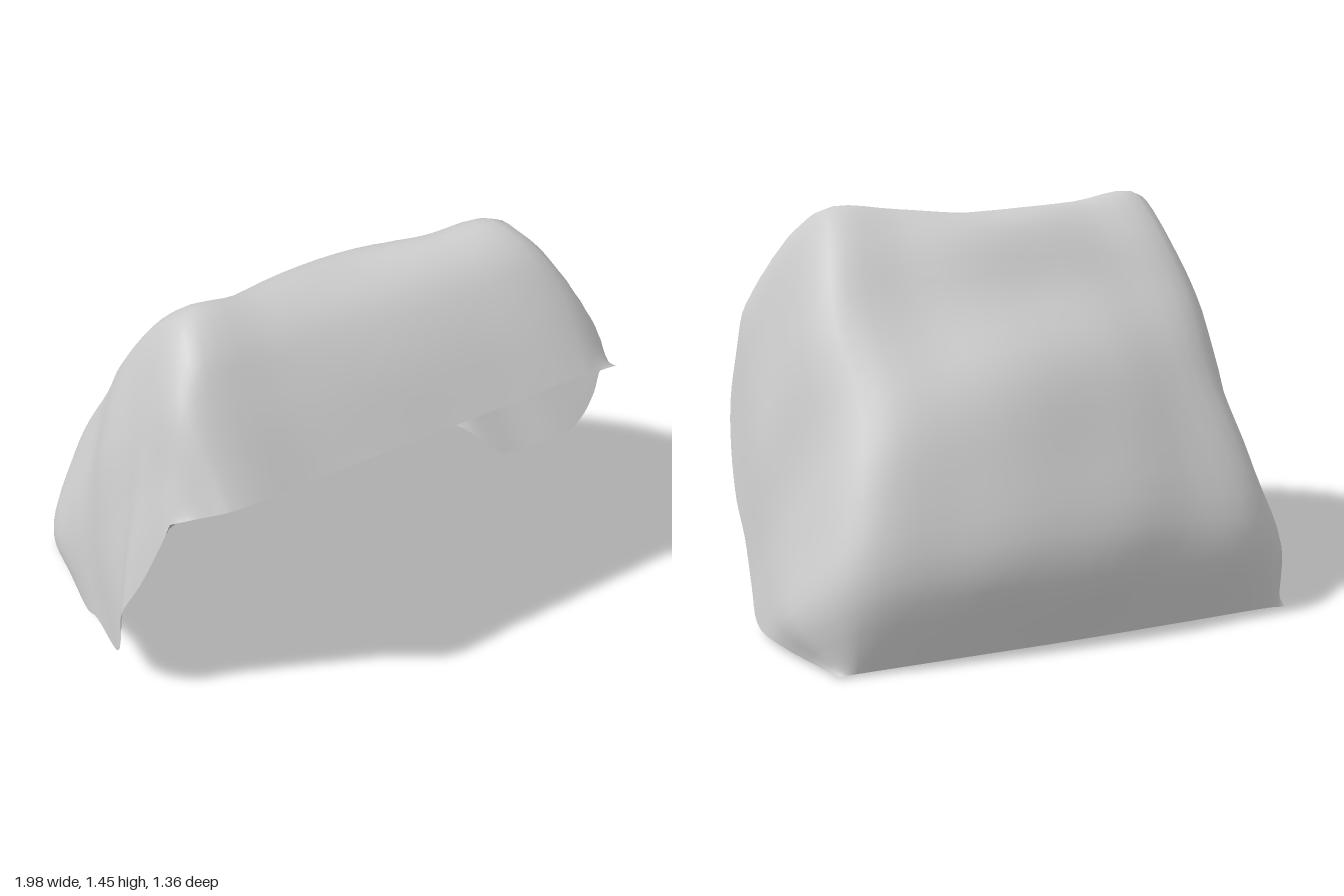
import * as THREE from 'three';

const V = (x, y, z) => new THREE.Vector3(x, y, z);

// Stations from the front lip, over the crown, down to the back foot:
// [ridge y, z], [shoulder half-width, y, z], [left rim x, y, z], [right rim x, y, z]
const STATIONS = [
  [[1.01, 0.67], [0.70, 1.01, 0.67], [0.86, 0.99, 0.66], [-0.86, 0.94, 0.55]],
  [[1.25, 0.50], [0.70, 1.25, 0.49], [0.91, 0.88, 0.53], [-0.88, 0.83, 0.51]],
  [[1.38, 0.35], [0.67, 1.39, 0.36], [0.95, 0.72, 0.47], [-0.93, 0.62, 0.43]],
  [[1.41, 0.18], [0.64, 1.44, 0.23], [0.97, 0.55, 0.40], [-0.98, 0.47, 0.37]],
  [[1.37, 0.03], [0.66, 1.32, 0.06], [0.98, 0.38, 0.29], [-0.98, 0.33, 0.34]],
  [[1.17, -0.16], [0.69, 1.10, -0.11], [0.98, 0.27, 0.16], [-0.96, 0.17, 0.23]],
  [[0.95, -0.42], [0.67, 0.85, -0.32], [0.99, 0.13, 0.02], [-0.94, 0.14, 0.02]],
  [[0.68, -0.57], [0.71, 0.58, -0.49], [1.00, 0.04, -0.10], [-0.93, 0.08, -0.10]],
  [[0.35, -0.68], [0.76, 0.30, -0.61], [0.97, 0.04, -0.32], [-0.90, 0.05, -0.30]],
  [[0.02, -0.61], [0.78, 0.02, -0.60], [0.84, 0.02, -0.60], [-0.85, 0.01, -0.59]],
];

// One arch running from the left rim over the roof to the right rim
function arch([ridge, sh, rimL, rimR], i) {
  const centre = V(0, ...ridge);
  const inner = i > 0 && i < STATIONS.length - 1;
  const half = (side, rim) => {
    const shoulder = V(side * sh[0], sh[1], sh[2]);
    const edge = V(...rim);
    const flank = shoulder.clone().lerp(edge, 0.5);
    // the flanks bow outwards, the left one more than the right
    if (inner) flank.x += side * (i > 4 ? 0.07 : side > 0 ? 0.06 : 0.03);
    const quarter = shoulder.clone().lerp(centre, 0.45);
    // the back swells between its shoulders
    if (i > 4 && inner) quarter.lerp(V(quarter.x, ...ridge), 0.5);
    return [edge, flank, shoulder, quarter];
  };
  return [...half(1, rimL), centre, ...half(-1, rimR).reverse()];
}

// Gentle worn unevenness, fading out at the open edges
function dent(p, u, v) {
  const fade = Math.min(1, 6 * Math.min(u, 1 - u, v, 1 - v));
  const n = Math.sin(p.x * 7 + p.y * 5) * Math.cos(p.z * 9 - p.x * 3)
    + 0.6 * Math.sin(p.x * 13 - p.z * 11 + p.y * 8);
  return 0.008 * fade * n;
}

function shellGeometry(rows = 36, cols = 40) {
  const arches = STATIONS.map(arch);
  const rails = arches[0].map((_, k) => new THREE.CatmullRomCurve3(arches.map(a => a[k])));
  const pos = [], index = [];
  for (let r = 0; r <= rows; r++) {
    const u = r / rows;
    const section = new THREE.CatmullRomCurve3(rails.map(c => c.getPoint(u)));
    for (let c = 0; c <= cols; c++) {
      const v = c / cols;
      const p = section.getPoint(v);
      const out = p.clone().sub(V(0, 0.55, 0)).normalize();
      p.addScaledVector(out, dent(p, u, v));
      pos.push(p.x, Math.max(0, p.y), p.z);
      if (r < rows && c < cols) {
        const a = r * (cols + 1) + c, b = a + cols + 1;
        index.push(a, b, a + 1, b, b + 1, a + 1);
      }
    }
  }
  const g = new THREE.BufferGeometry();
  g.setAttribute('position', new THREE.Float32BufferAttribute(pos, 3));
  g.setIndex(index);
  g.computeVertexNormals();
  return g;
}

export function createModel() {
  const model = new THREE.Group();
  model.name = 'openHood';
  const material = new THREE.MeshStandardMaterial({ color: 0xcccccc, side: THREE.DoubleSide });
  // Thin shell, open at the front and below
  const shell = new THREE.Mesh(shellGeometry(), material);
  shell.name = 'hoodShell';
  model.add(shell);
  return model;
}
